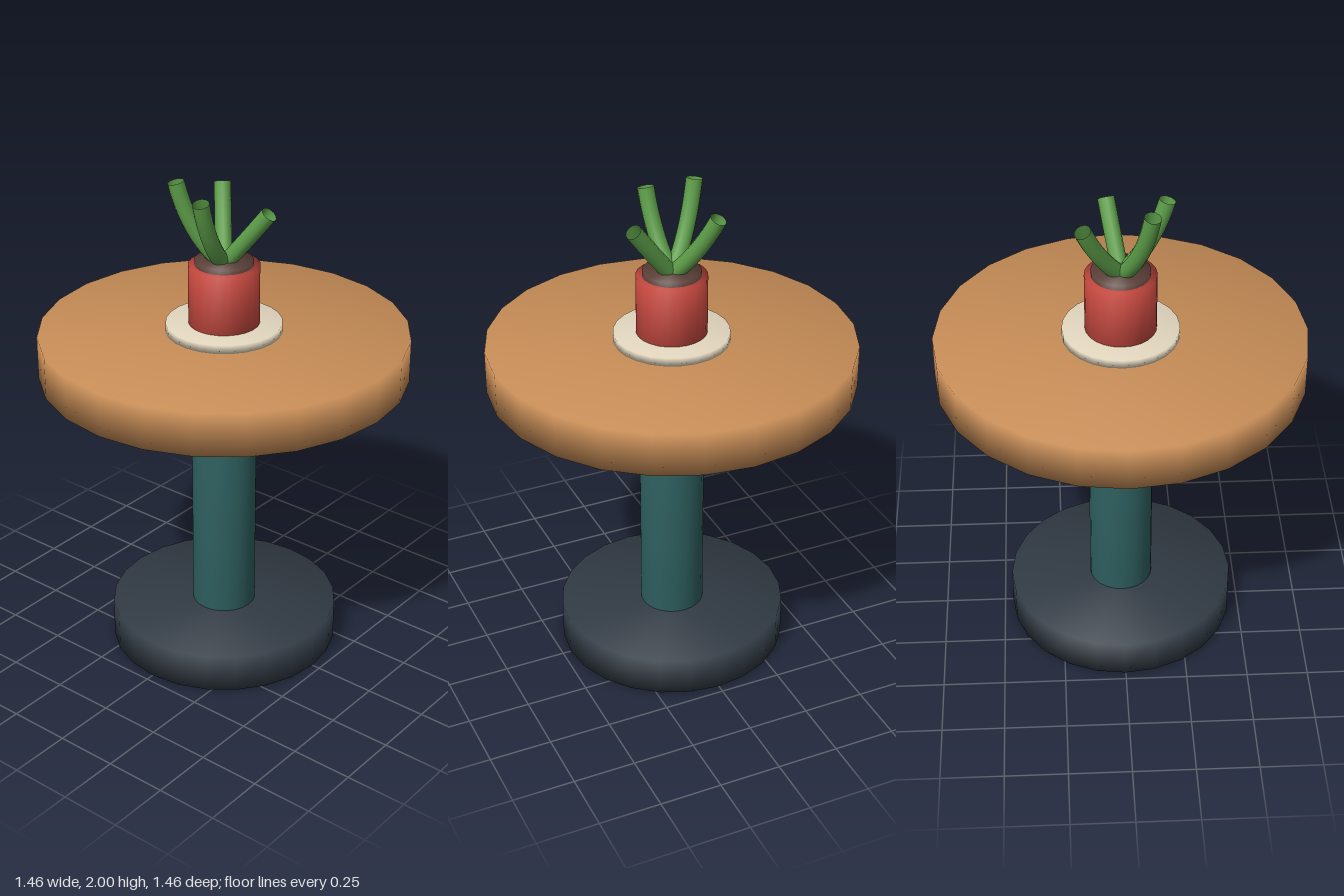
import * as THREE from 'three';
import { mergeVertices } from 'three/addons/utils/BufferGeometryUtils.js';

const paint = (name, color, side = THREE.FrontSide) => {
  const m = new THREE.MeshStandardMaterial({ color, side });
  m.name = name;
  return m;
};

// Upright disc or post whose normals are shared across the rims
function drum(name, radius, bottom, top, material) {
  let geo = new THREE.CylinderGeometry(radius, radius, top - bottom, 24);
  geo.deleteAttribute('normal');
  geo.deleteAttribute('uv');
  geo = mergeVertices(geo);
  geo.computeVertexNormals();
  const mesh = new THREE.Mesh(geo, material);
  mesh.name = name;
  mesh.position.y = (bottom + top) / 2;
  return mesh;
}

// Open curved stalk; bend is how far out the curve swings before rising
function stalk(x, y, z, bend, material) {
  const curve = new THREE.QuadraticBezierCurve3(
    new THREE.Vector3(0, 1.66, 0),
    new THREE.Vector3(x * bend, 1.77, z * bend),
    new THREE.Vector3(x, y, z)
  );
  const mesh = new THREE.Mesh(new THREE.TubeGeometry(curve, 12, 0.033, 12), material);
  mesh.name = 'stalk';
  return mesh;
}

export function createModel() {
  const model = new THREE.Group();
  model.name = 'pedestalTable';

  // Table
  model.add(
    drum('base', 0.465, 0, 0.16, paint('slate', 0x313a44)),
    drum('post', 0.13, 0.16, 1.21, paint('teal', 0x2f6060)),
    drum('tabletop', 0.73, 1.21, 1.385, paint('tan wood', 0xc68c56))
  );

  // Potted plant
  model.add(
    drum('saucer', 0.23, 1.385, 1.42, paint('cream', 0xe2d6be)),
    drum('pot', 0.14, 1.42, 1.66, paint('red clay', 0xc94a40)),
    drum('soil', 0.115, 1.6, 1.68, paint('soil brown', 0x5a4038))
  );

  const green = paint('leaf green', 0x5c9c48, THREE.DoubleSide);
  const plant = new THREE.Group();
  plant.name = 'plant';
  for (const [x, y, z, bend] of [
    [-0.145, 1.99, 0.11, 0.72],
    [0.03, 1.96, 0.175, 0.7],
    [0.178, 1.89, -0.048, 0.5],
    [-0.125, 1.925, -0.145, 0.6],
  ]) plant.add(stalk(x, y, z, bend, green));
  model.add(plant);

  return model;
}
